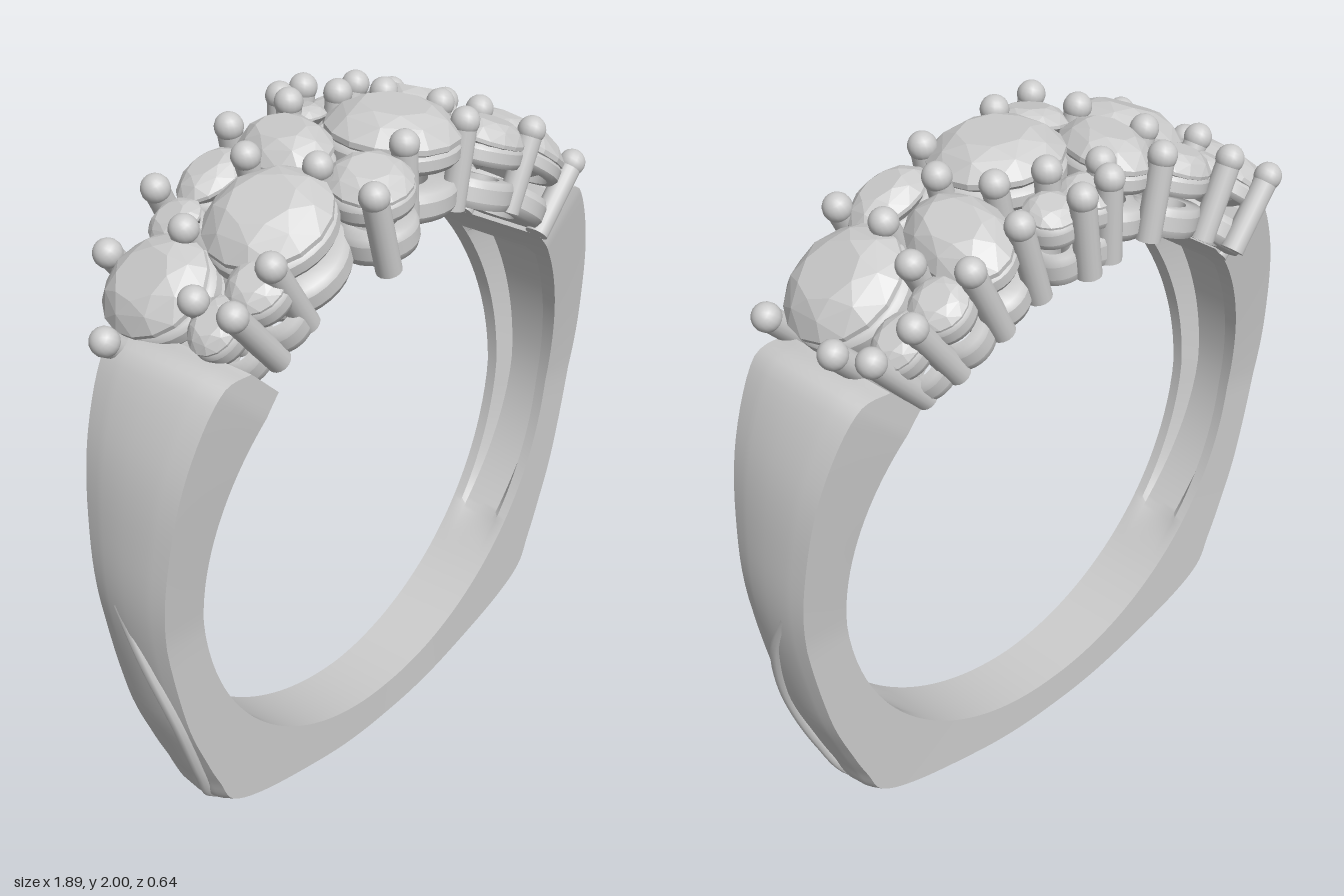
import * as THREE from 'three';
import { toCreasedNormals } from 'three/addons/utils/BufferGeometryUtils.js';
import { ConvexGeometry } from 'three/addons/geometries/ConvexGeometry.js';

const CY = 0.945;      // height of the ring's axis
const INNER = 0.785;   // finger hole radius
const smooth = THREE.MathUtils.smoothstep;
const metal = new THREE.MeshStandardMaterial({ color: 0xcccccc });

function addMesh(parent, geometry, name) {
  const mesh = new THREE.Mesh(geometry, metal);
  mesh.name = name;
  parent.add(mesh);
  return mesh;
}

// Band: cross-sections swept from one shoulder round the bottom to the other
function bandGeometry() {
  const half = [[0.67, 1.595], [0.78, 1.58], [0.88, 1.4], [0.93, 1.18], [0.94, 0.93], [0.88, 0.6],
    [0.81, 0.4], [0.765, 0.29], [0.72, 0.195], [0.6, 0.125], [0.4, 0.06], [0.2, 0.018]];
  const outline = [...half, [0, 0.005], ...half.map(([x, y]) => [-x, y]).reverse()];
  const path = new THREE.SplineCurve(outline.map(([x, y]) => new THREE.Vector2(x, y - CY)));
  const steps = 144;
  const across = [-1, -0.7, -0.55, 0, 0.55, 0.7, 1];
  const n = across.length * 2;
  const pos = [], index = [];
  for (let i = 0; i <= steps; i++) {
    const p = path.getPoint(i / steps);
    const angle = Math.atan2(p.x, -p.y);
    const deg = Math.abs(THREE.MathUtils.radToDeg(angle));
    const flare = Math.pow(THREE.MathUtils.clamp((deg - 85) / 44, 0, 1), 1.2);
    const w = 0.095 + 0.015 * Math.min(deg / 90, 1) + 0.08 * flare;
    const crown = 0.04 - 0.022 * smooth(deg, 20, 60);
    const groove = 0.065 * smooth(deg, 40, 90) * (1 - smooth(deg, 121, 126));
    const put = (r, s) => pos.push(r * Math.sin(angle), CY - r * Math.cos(angle), 0.025 + s * w);
    across.forEach(s => put(p.length() - crown * s * s, s));
    across.forEach(s => put(INNER + (Math.abs(s) < 0.6 ? groove : 0), -s));
  }
  for (let i = 0; i < steps; i++) {
    for (let j = 0; j < n; j++) {
      const a = i * n + j, b = i * n + (j + 1) % n;
      index.push(a, b, a + n, b, b + n, a + n);
    }
  }
  // Closed shoulder ends
  const e = steps * n;
  for (let j = 0; j < across.length - 1; j++) {
    const q = [j, j + 1, n - 2 - j, n - 1 - j];
    index.push(q[0], q[2], q[1], q[0], q[3], q[2]);
    index.push(e + q[0], e + q[1], e + q[2], e + q[0], e + q[2], e + q[3]);
  }
  const g = new THREE.BufferGeometry();
  g.setAttribute('position', new THREE.Float32BufferAttribute(pos, 3));
  g.setIndex(index);
  return toCreasedNormals(g, 0.5);
}

// Faceted stone of unit radius with its girdle at y = 0
function stoneGeometry() {
  const pts = [];
  const ring = (count, r, y, turn) => {
    for (let i = 0; i < count; i++) {
      const a = (i + turn) / count * Math.PI * 2;
      pts.push(new THREE.Vector3(r * Math.cos(a), y, r * Math.sin(a)));
    }
  };
  ring(8, 0.52, 0.38, 0);
  ring(8, 0.78, 0.26, 0.5);
  ring(16, 1, 0.04, 0);
  ring(16, 1, -0.04, 0);
  ring(8, 0.5, -0.45, 0.5);
  pts.push(new THREE.Vector3(0, -0.75, 0));
  return new ConvexGeometry(pts);
}

// Rounded collar of unit outer radius between two heights
function collarGeometry(inner, y0, y1) {
  const b = (y1 - y0) * 0.25, c = 0.06;
  const profile = [[inner, y0], [1 - c, y0], [1, y0 + b], [1, y1 - b], [1 - c, y1], [inner, y1], [inner, y0]];
  const g = new THREE.LatheGeometry(profile.map(([x, y]) => new THREE.Vector2(x, y)), 32);
  return toCreasedNormals(g, 0.9);
}

// Group on the dome: local y points away from the finger, origin on the ring's axis
function domeSpot(parent, name, x, z) {
  const swing = new THREE.Group();
  swing.name = name;
  swing.position.set(0, CY, z);
  swing.rotation.z = -Math.asin(x / 1.03);
  parent.add(swing);
  return swing;
}

export function createModel() {
  const ring = new THREE.Group();
  ring.name = 'clusterRing';
  addMesh(ring, bandGeometry(), 'band');

  // Sweeping ridges on the lower shoulders
  const ridge = [[0.922, 0.96, -0.02], [0.915, 0.8, 0.05], [0.865, 0.58, 0.1], [0.785, 0.35, 0.085],
    [0.705, 0.2, 0.05], [0.5, 0.095, 0.02], [0.2, 0.026, 0]];
  for (const side of [1, -1]) {
    const curve = new THREE.CatmullRomCurve3(ridge.map(([x, y, z]) => new THREE.Vector3(side * x, y, z)));
    addMesh(ring, new THREE.TubeGeometry(curve, 60, 0.018, 8), side > 0 ? 'leftRidge' : 'rightRidge');
  }

  // Stones: x, z, half width, half depth, turn
  const stones = [
    [-0.42, 0.05, 0.17, 0.165, 0], [0.08, 0.06, 0.18, 0.18, 0], [0.60, 0.09, 0.17, 0.17, 0],
    [-0.17, -0.1, 0.115, 0.155, -0.35], [-0.66, -0.12, 0.145, 0.155, 0.2], [0.38, -0.1, 0.12, 0.165, -0.2],
    [-0.18, 0.18, 0.11, 0.11, 0], [0.36, 0.18, 0.125, 0.09, 0], [-0.34, -0.21, 0.11, 0.085, 0],
    [-0.50, -0.2, 0.075, 0.075, 0], [0.04, -0.22, 0.075, 0.075, 0], [0.17, -0.21, 0.07, 0.07, 0],
    [0.54, -0.18, 0.08, 0.075, 0], [0.65, -0.15, 0.08, 0.065, 0],
    [-0.69, 0.1, 0.08, 0.065, 0], [-0.58, 0.14, 0.085, 0.075, 0],
  ];
  const stoneGeo = stoneGeometry();
  const seatGeo = collarGeometry(0.84, 0.915, 0.97);
  const railGeo = collarGeometry(0.55, 0.785, 0.86);
  stones.forEach(([x, z, a, b, turn]) => {
    const spot = domeSpot(ring, 'setting', x, z);
    const drop = 0.5 * z * z;
    const stone = addMesh(spot, stoneGeo, 'stone');
    stone.position.y = 0.985 - drop;
    stone.rotation.set(z * 0.8, turn, 0);
    stone.scale.set(a, Math.max(a, b), b);
    const seat = addMesh(spot, seatGeo, 'seat');
    seat.position.y = -drop;
    const rail = addMesh(spot, railGeo, 'lowerRail');
    for (const part of [seat, rail]) {
      part.rotation.y = turn;
      part.scale.set(a, 1, b);
    }
  });

  // Prongs with ball tips: x, z
  const prongs = [
    [-0.79, -0.14], [-0.64, -0.28], [-0.46, -0.28], [-0.54, -0.1], [-0.3, -0.11], [-0.2, -0.26],
    [-0.26, 0.09], [-0.28, 0.275], [-0.06, 0.2], [-0.02, -0.21], [0.02, -0.275], [0.13, -0.285],
    [0.11, -0.15], [0.23, -0.09], [0.3, -0.24], [0.28, 0.06], [0.45, 0.07], [0.2, 0.2],
    [0.46, -0.235], [0.51, -0.09], [0.62, -0.205], [0.71, -0.16], [0.73, -0.05], [0.73, 0.21], [0.46, 0.24],
    [-0.67, 0.05], [-0.67, 0.17], [-0.55, 0.185],
  ];
  const postGeo = new THREE.CylinderGeometry(0.034, 0.034, 1, 16);
  const tipGeo = new THREE.SphereGeometry(0.039, 16, 12);
  prongs.forEach(([x, z]) => {
    const spot = domeSpot(ring, 'prong', x, z);
    const top = 1.03 - 0.3 * z * z;
    const post = addMesh(spot, postGeo, 'post');
    post.scale.y = top - INNER;
    post.position.y = (top + INNER) / 2;
    addMesh(spot, tipGeo, 'tip').position.y = top;
  });
  return ring;
}
